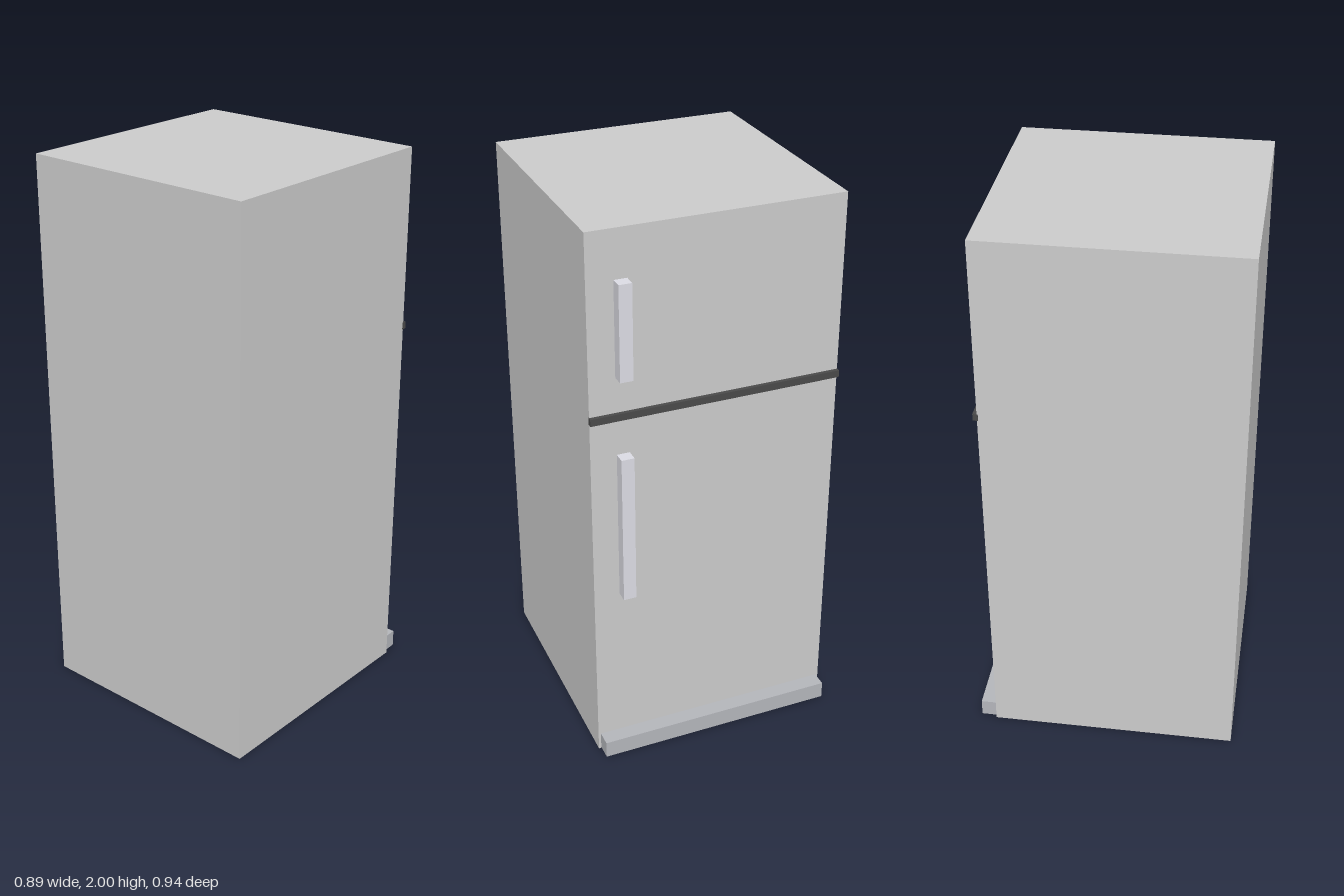
import * as THREE from 'three';

const paint = (color) => new THREE.MeshStandardMaterial({ color });

// Box given by its extents along each axis
function block(name, [x0, x1], [y0, y1], [z0, z1], material) {
  const mesh = new THREE.Mesh(new THREE.BoxGeometry(x1 - x0, y1 - y0, z1 - z0), material);
  mesh.position.set((x0 + x1) / 2, (y0 + y1) / 2, (z0 + z1) / 2);
  mesh.name = name;
  return mesh;
}

export function createModel() {
  const group = new THREE.Group();
  group.name = 'refrigerator';
  const handleMaterial = paint(0xdcdce4);

  // Cabinet; the doors are on the -z side
  group.add(block('cabinet', [-0.443, 0.443], [0, 2], [-0.415, 0.471], paint(0xcccccc)));

  // Dark seam between freezer and fridge doors
  group.add(block('doorSeam', [-0.444, 0.444], [1.347, 1.372], [-0.429, -0.411], paint(0x4a4a4a)));

  // Kick plate along the foot of the doors
  group.add(block('kickPlate', [-0.434, 0.434], [0.004, 0.067], [-0.471, -0.413], paint(0xb4b6bb)));

  // Upright bar handles, standing just off the doors
  const handles = [['freezerHandle', [1.503, 1.836]], ['fridgeHandle', [0.672, 1.222]]];
  for (const [name, span] of handles) {
    group.add(block(name, [0.31, 0.355], span, [-0.466, -0.424], handleMaterial));
  }

  return group;
}
